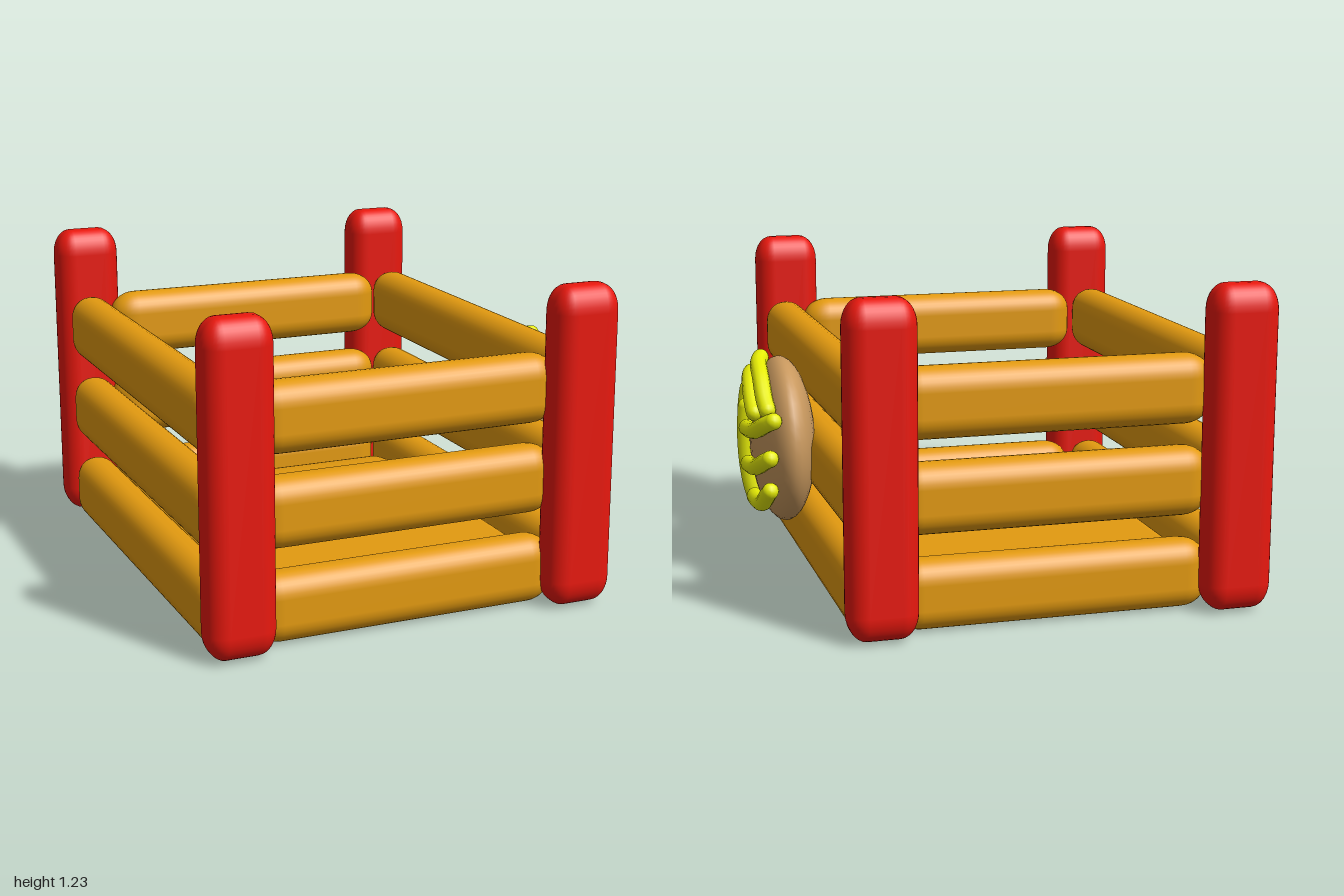
import * as THREE from 'three';
import { RoundedBoxGeometry } from 'three/addons/geometries/RoundedBoxGeometry.js';

const paint = (color) => new THREE.MeshStandardMaterial({ color });

// Inflated block with its own rounding radius along each axis
function pillow(name, size, radii, position, material) {
  const [w, h, d] = size.map((s, i) => s / radii[i]);
  const geometry = new RoundedBoxGeometry(w, h, d, 4, 1);
  geometry.scale(...radii);
  const mesh = new THREE.Mesh(geometry, material);
  mesh.name = name;
  mesh.position.set(...position);
  return mesh;
}

export function createModel() {
  const model = new THREE.Group();
  model.name = 'inflatablePen';
  const red = paint(0xe8180e);
  const orange = paint(0xe39a10);
  const tan = paint(0xc8985e);
  const yellow = paint(0xe6ec05);

  // Corner posts
  for (const x of [-0.78, 0.56]) {
    for (const z of [-0.915, 0.915]) {
      model.add(pillow('cornerPost', [0.26, 1.22, 0.17], [0.07, 0.1, 0.07], [x, 0.62, z], red));
    }
  }

  // Three stacked rails on each of the four sides
  for (const y of [0.133, 0.486, 0.833]) {
    for (const z of [-0.815, 0.815]) {
      model.add(pillow('crossRail', [1.2, 0.263, 0.17], [0.1, 0.085, 0.08], [-0.1, y, z], orange));
    }
    for (const x of [-0.8, 0.587]) {
      model.add(pillow('sideRail', [0.168, 0.263, 1.72], [0.08, 0.085, 0.1], [x, y, 0], orange));
    }
  }

  // Floor cushion
  model.add(pillow('floor', [1.24, 0.16, 1.52], [0.07, 0.07, 0.24], [-0.1, 0.083, 0], orange));

  // Flattened ball on the left side
  const cy = 0.535, cz = 0.047, radius = 0.325;
  const ball = new THREE.Mesh(new THREE.SphereGeometry(1, 32, 20), tan);
  ball.name = 'ball';
  ball.scale.set(0.12, radius, radius);
  ball.position.set(0.74, cy, cz);
  model.add(ball);

  // Raised bands curving over the ball, as [z, y] points
  const bands = [
    [[0.265, 0.7], [0.287, 0.53], [0.277, 0.36]],
    [[0.15, 0.65], [0.163, 0.45], [0.16, 0.27]],
    [[0.23, 0.77], [0.09, 0.745], [-0.055, 0.665]],
    [[0.11, 0.85], [-0.05, 0.8], [-0.185, 0.7]],
    [[0.09, 0.575], [-0.08, 0.6], [-0.235, 0.665]],
    [[0.09, 0.43], [-0.08, 0.455], [-0.235, 0.52]],
    [[0.09, 0.295], [-0.08, 0.31], [-0.2, 0.385]],
  ];
  const bandRadius = 0.033;
  for (const points of bands) {
    const flat = new THREE.CatmullRomCurve3(points.map(([z, y]) => new THREE.Vector3(0, y, z)));
    const path = flat.getPoints(8).map((p) => {
      const r = Math.hypot(p.y - cy, p.z - cz) / radius;
      p.x = 0.795 + 0.077 * Math.sqrt(Math.max(0, 1 - r * r));
      return p;
    });
    const band = new THREE.Group();
    band.name = 'ballBand';
    const curve = new THREE.CatmullRomCurve3(path);
    const tube = new THREE.Mesh(new THREE.TubeGeometry(curve, 20, bandRadius, 12), yellow);
    tube.name = 'bandTube';
    band.add(tube);
    for (const end of [path[0], path[path.length - 1]]) {
      const cap = new THREE.Mesh(new THREE.SphereGeometry(bandRadius, 12, 8), yellow);
      cap.name = 'bandEnd';
      cap.position.copy(end);
      band.add(cap);
    }
    model.add(band);
  }
  return model;
}
